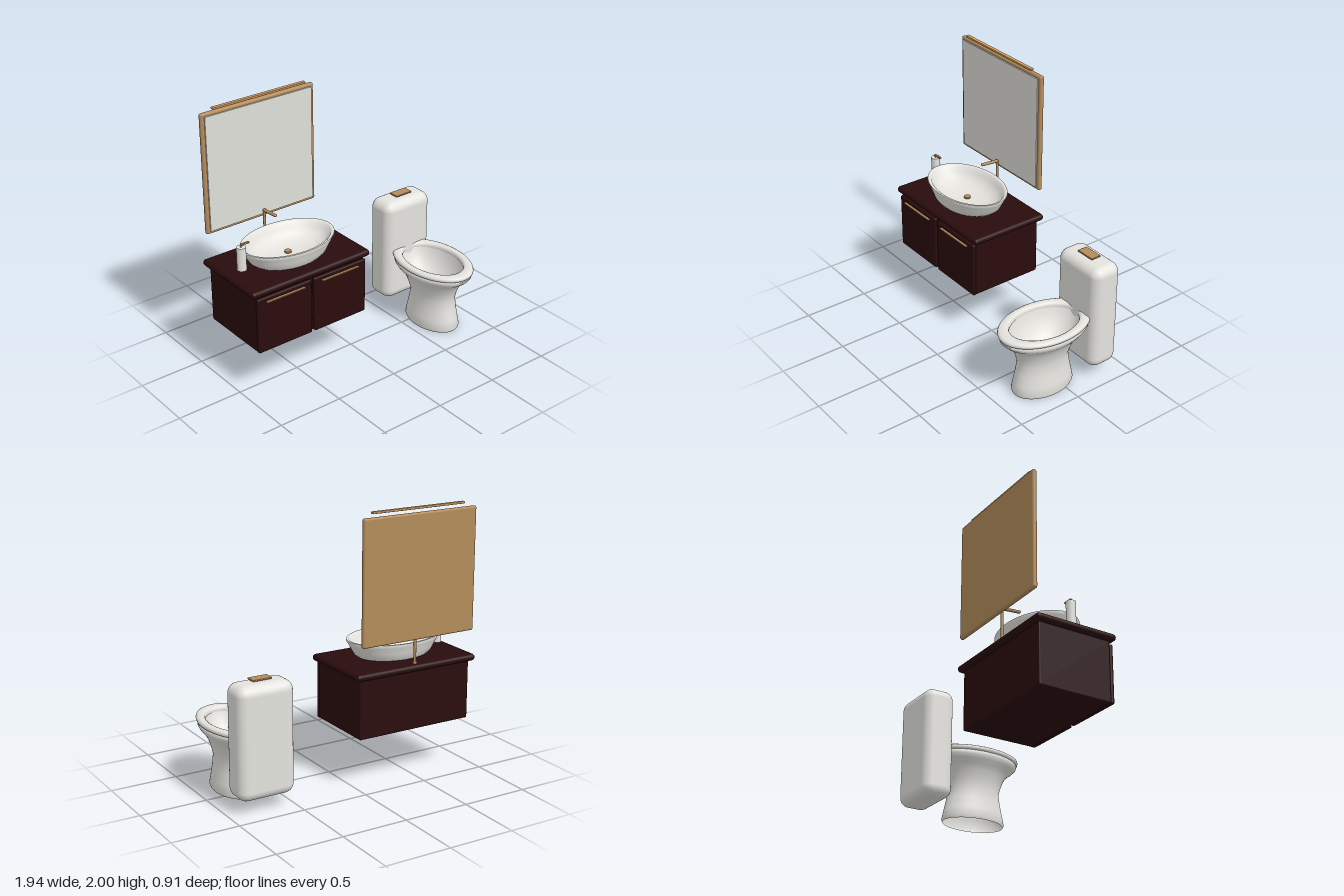
import * as THREE from 'three';
import { toCreasedNormals } from 'three/addons/utils/BufferGeometryUtils.js';
import { RoundedBoxGeometry } from 'three/addons/geometries/RoundedBoxGeometry.js';

const flat = (name, color, side = THREE.FrontSide) => {
  const m = new THREE.MeshStandardMaterial({ color, side });
  m.name = name;
  return m;
};

// Skin over elliptical rings [y, radiusX, radiusZ, centreZ]
function ellipseLoft(rings, crease = 0.6, sides = 64) {
  const pos = [], idx = [];
  rings.forEach(([y, rx, rz, cz = 0]) => {
    for (let i = 0; i < sides; i++) {
      const t = (i / sides) * Math.PI * 2;
      pos.push(rx * Math.cos(t), y, cz + rz * Math.sin(t));
    }
  });
  for (let j = 0; j < rings.length - 1; j++) {
    for (let i = 0; i < sides; i++) {
      const a = j * sides + i, b = j * sides + (i + 1) % sides;
      idx.push(a, a + sides, b, b, a + sides, b + sides);
    }
  }
  const g = new THREE.BufferGeometry();
  g.setAttribute('position', new THREE.Float32BufferAttribute(pos, 3));
  g.setIndex(idx);
  return toCreasedNormals(g, crease);
}

export function createModel() {
  const root = new THREE.Group();
  root.name = 'bathroomSet';
  const ceramic = flat('ceramic', 0xe4e3de, THREE.DoubleSide);
  const glass = flat('mirrorGlass', 0xe0dfda);
  const brass = flat('brass', 0xb48c5b);
  const lampWood = flat('lampWood', 0xd6a263);
  const darkWood = flat('darkWood', 0x2a0c0d);

  const group = (name) => {
    const g = new THREE.Group();
    g.name = name;
    root.add(g);
    return g;
  };
  const add = (parent, name, geo, mat, x = 0, y = 0, z = 0) => {
    const m = new THREE.Mesh(geo, mat);
    m.name = name;
    m.position.set(x, y, z);
    parent.add(m);
    return m;
  };
  // Rounded box given by its extents
  const block = (parent, name, mat, [x0, x1], [y0, y1], [z0, z1], r) =>
    add(parent, name, new RoundedBoxGeometry(x1 - x0, y1 - y0, z1 - z0, 4, r), mat,
      (x0 + x1) / 2, (y0 + y1) / 2, (z0 + z1) / 2);

  const midX = -0.466;

  // Vanity cabinet with two doors
  const vanity = group('vanity');
  block(vanity, 'countertop', darkWood, [-0.972, 0.04], [0.822, 0.872], [-0.453, 0.175], 0.024);
  block(vanity, 'cabinetBody', darkWood, [-0.932, 0], [0.382, 0.83], [-0.42, 0.142], 0.01);
  for (const s of [-1, 1]) {
    const a = midX + s * 0.011, b = midX + s * 0.468;
    block(vanity, 'door', darkWood, [Math.min(a, b), Math.max(a, b)], [0.38, 0.808], [0.138, 0.168], 0.012);
    const hx = midX + s * 0.236;
    block(vanity, 'doorHandle', brass, [hx - 0.162, hx + 0.162], [0.77, 0.779], [0.164, 0.186], 0.002);
  }

  // Oval vessel basin
  const basin = group('basin');
  basin.position.set(midX, 0, -0.124);
  add(basin, 'basinBowl', ellipseLoft([
    [0.872, 0.001, 0.001], [0.872, 0.22, 0.17], [0.88, 0.28, 0.2], [0.9, 0.305, 0.215],
    [0.94, 0.33, 0.227], [0.985, 0.356, 0.242], [1.006, 0.369, 0.251], [1.013, 0.367, 0.249],
    [1.013, 0.352, 0.234], [1.005, 0.342, 0.224], [0.97, 0.325, 0.21], [0.93, 0.285, 0.18],
    [0.902, 0.21, 0.13], [0.892, 0.1, 0.065], [0.89, 0.001, 0.001],
  ], 0.9), ceramic);
  add(basin, 'drainPlug', new THREE.CylinderGeometry(0.025, 0.025, 0.012, 24), brass, 0, 0.905, 0);
  add(basin, 'drainStem', new THREE.CylinderGeometry(0.01, 0.01, 0.02, 16), brass, 0, 0.895, 0);

  // Faucet: upright pipe and slightly raised spout
  const faucet = group('faucet');
  add(faucet, 'faucetPipe', new THREE.CylinderGeometry(0.01, 0.01, 0.25, 20), brass, midX, 0.993, -0.403);
  add(faucet, 'faucetBase', new THREE.CylinderGeometry(0.016, 0.016, 0.012, 20), brass, midX, 0.878, -0.403);
  const spout = add(faucet, 'faucetSpout', new RoundedBoxGeometry(0.025, 0.02, 0.155, 3, 0.009),
    brass, midX, 1.124, -0.333);
  spout.rotation.x = -0.08;

  // Soap dispenser
  const soap = group('soapDispenser');
  soap.position.set(-0.862, 0, -0.116);
  add(soap, 'soapBottle', new THREE.CylinderGeometry(0.034, 0.034, 0.176, 32), ceramic, 0, 0.988, 0);
  add(soap, 'soapNeck', new THREE.CylinderGeometry(0.007, 0.007, 0.03, 12), brass, 0, 1.083, 0);
  block(soap, 'soapSpout', brass, [-0.003, 0.066], [1.086, 1.1], [-0.009, 0.009], 0.005);

  // Wall mirror with a lamp bar above
  const mirror = group('mirror');
  block(mirror, 'mirrorFrame', brass, [-0.935, 0.003], [1.06, 1.965], [-0.459, -0.424], 0.015);
  add(mirror, 'mirrorGlass', new THREE.BoxGeometry(0.884, 0.858, 0.012), glass, midX, 1.513, -0.421);
  block(mirror, 'lampBar', lampWood, [-0.85, -0.083], [1.984, 2], [-0.431, -0.401], 0.005);

  // Toilet
  const toilet = group('toilet');
  toilet.position.x = 0.721;
  block(toilet, 'cistern', ceramic, [-0.215, 0.215], [0.098, 0.918], [-0.416, -0.183], 0.072);
  block(toilet, 'flushButton', brass, [-0.074, 0.074], [0.928, 0.94], [-0.336, -0.256], 0.004);
  // Pedestal outside, then bowl inside down to the drain hole
  add(toilet, 'toiletBowl', ellipseLoft([
    [0.003, 0.158, 0.238, 0.1], [0.022, 0.165, 0.246, 0.1], [0.09, 0.155, 0.231, 0.1],
    [0.17, 0.144, 0.213, 0.1], [0.25, 0.138, 0.202, 0.1], [0.31, 0.152, 0.222, 0.096],
    [0.37, 0.172, 0.25, 0.093], [0.41, 0.195, 0.283, 0.09], [0.44, 0.22, 0.325, 0.09],
    [0.465, 0.234, 0.35, 0.09], [0.485, 0.236, 0.356, 0.09], [0.496, 0.228, 0.348, 0.09],
    [0.496, 0.192, 0.285, 0.09], [0.45, 0.182, 0.27, 0.09], [0.38, 0.155, 0.23, 0.09],
    [0.31, 0.11, 0.165, 0.09], [0.27, 0.06, 0.09, 0.09], [0.255, 0.017, 0.028, 0.09],
  ], 0.9), ceramic);
  add(toilet, 'toiletSeat', ellipseLoft([
    [0.494, 0.185, 0.275, 0.09], [0.494, 0.232, 0.355, 0.09], [0.5, 0.241, 0.363, 0.09],
    [0.512, 0.244, 0.366, 0.09], [0.524, 0.24, 0.362, 0.09], [0.531, 0.228, 0.348, 0.09],
    [0.531, 0.2, 0.295, 0.09], [0.525, 0.189, 0.28, 0.09], [0.51, 0.184, 0.274, 0.09],
    [0.494, 0.185, 0.275, 0.09],
  ], 0.9), ceramic);

  return root;
}
